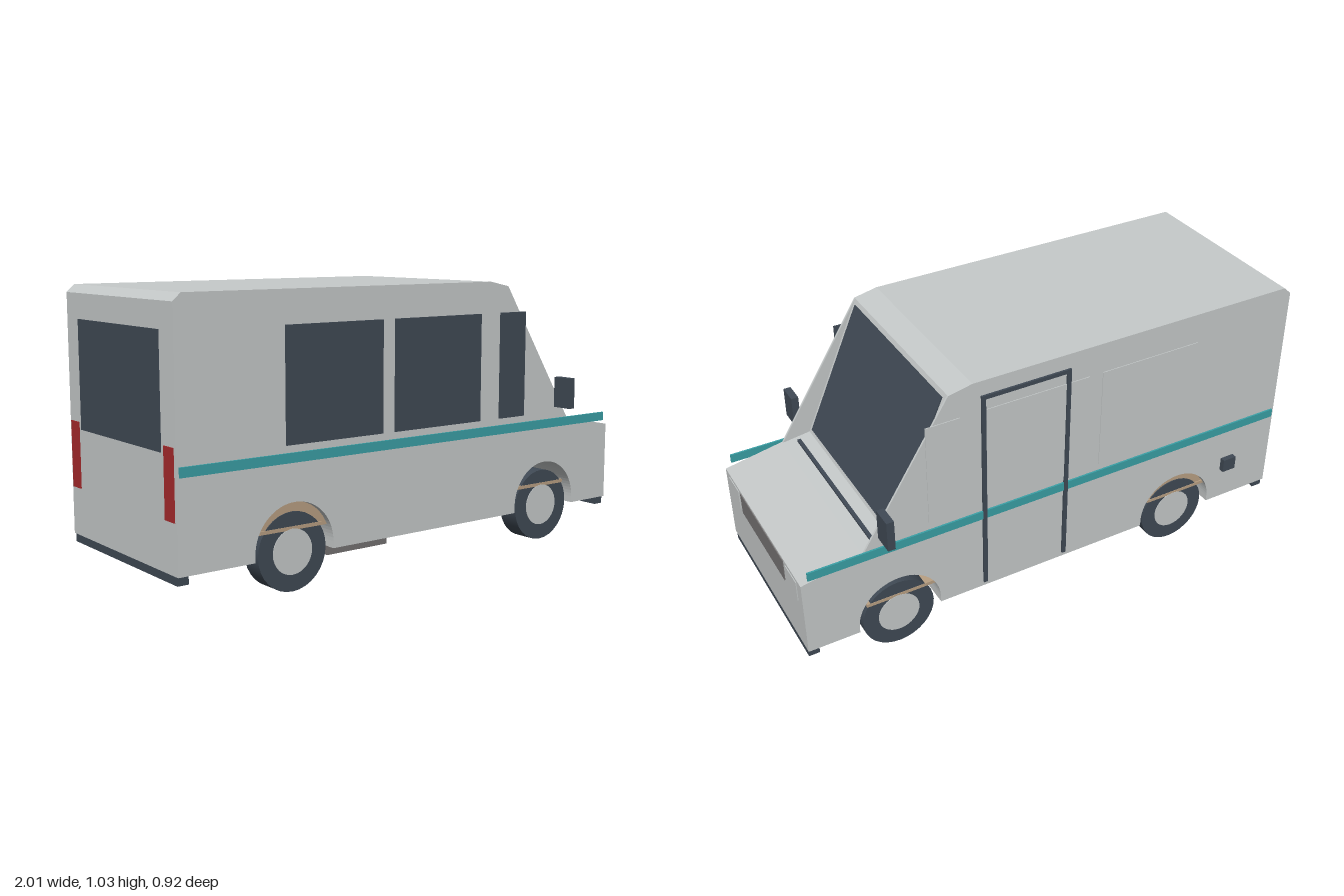
import * as THREE from 'three';

const mat = (name, color, side = THREE.FrontSide) => {
  const m = new THREE.MeshStandardMaterial({ color, side });
  m.name = name;
  return m;
};

export function createModel() {
  const paint = mat('pale grey paint', 0xc6caca);
  const dark = mat('dark slate', 0x404a55);
  const teal = mat('teal stripe', 0x3aa0a6);
  const tan = mat('tan liner', 0xb9a083);
  const grey = mat('mid grey', 0x757272);
  const red = mat('red lamp', 0xa82a2c);

  const van = new THREE.Group();
  van.name = 'van';
  const W = 0.376; // half width of the body

  const add = (name, geo, material, x = 0, y = 0, z = 0) => {
    const m = new THREE.Mesh(geo, material);
    m.name = name;
    m.position.set(x, y, z);
    van.add(m);
    return m;
  };
  // box given by its limits on each axis
  const box = (name, material, [x0, x1], [y0, y1], [z0, z1]) =>
    add(name, new THREE.BoxGeometry(x1 - x0, y1 - y0, z1 - z0), material,
      (x0 + x1) / 2, (y0 + y1) / 2, (z0 + z1) / 2);
  // thin plate on one side of the van
  const sidePlate = (name, material, xs, ys, s, t = 0.006) =>
    box(name, material, xs, ys, s > 0 ? [W, W + t] : [-W - t, -W]);
  const extrude = (shape, depth) =>
    new THREE.ExtrudeGeometry(shape, { depth, bevelEnabled: false, curveSegments: 20 })
      .translate(0, 0, -depth / 2);

  // Body side profile with open wheel arches
  const axles = [-0.55, 0.645];
  const profile = new THREE.Shape();
  profile.moveTo(-1, 0.13);
  for (const x of axles) {
    profile.lineTo(x - 0.16, 0.13);
    profile.absarc(x, 0.155, 0.16, Math.PI, 0, true);
    profile.lineTo(x + 0.16, 0.13);
  }
  [[1, 0.13], [1, 0.432], [0.77, 0.475], [0.66, 0.49], [0.43, 1.008],
    [0.34, 1.027], [-0.97, 1.027], [-1, 1]].forEach(([x, y]) => profile.lineTo(x, y));
  add('body', extrude(profile, 2 * W), paint);

  // Side cheeks beside the sloping windscreen
  const cheek = new THREE.Shape([[0.43, 1.008], [0.66, 0.49], [0.77, 0.475]]
    .map(([x, y]) => new THREE.Vector2(x, y)));
  for (const s of [1, -1]) add('windscreenCheek', extrude(cheek, 0.008), paint, 0, 0, s * (W - 0.004));

  // Windscreen and wiper
  const slope = Math.atan2(0.23, 0.518);
  add('windscreen', new THREE.BoxGeometry(0.008, 0.53, 0.7), dark, 0.546, 0.749, 0).rotation.z = slope;
  box('wiper', dark, [0.708, 0.722], [0.478, 0.49], [-0.34, 0.34]);

  // Windows on the left side, plain panels on the other
  for (const xs of [[-0.585, -0.175], [-0.12, 0.29], [0.39, 0.52]]) {
    sidePlate('sideWindow', dark, xs, [0.51, 0.91], 1);
    sidePlate('sidePanel', paint, xs, [0.51, 0.91], -1, 0.003);
  }
  box('rearWindow', dark, [-1.004, -1], [0.52, 0.91], [-0.285, 0.285]);

  // Door frame
  for (const x of [-0.033, 0.302]) sidePlate('doorPost', dark, [x - 0.008, x + 0.008], [0.15, 0.97], -1, 0.008);
  sidePlate('doorHeader', dark, [-0.041, 0.31], [0.955, 0.97], -1, 0.008);

  // Stripes, mirrors and tail lamps
  for (const s of [1, -1]) {
    sidePlate('stripe', teal, [-0.99, 0.975], [0.45, 0.484], s, 0.007);
    box('mirror', dark, [0.685, 0.713], [0.53, 0.648], s > 0 ? [0.382, 0.462] : [-0.462, -0.382]);
    const lamp = s > 0 ? [0.305, 0.365] : [-0.365, -0.305];
    box('tailLamp', red, [-1.004, -1], [0.305, 0.545], lamp);
    const head = s > 0 ? [0.235, 0.335] : [-0.335, -0.235];
    box('headlamp', paint, [0.999, 1.003], [0.34, 0.42], head);
  }

  // Grille, bumpers, fuel cap and underfloor tank
  box('grille', grey, [0.998, 1.003], [0.335, 0.424], [-0.213, 0.213]);
  box('frontBumper', dark, [0.957, 0.998], [0.1, 0.129], [-0.367, 0.367]);
  box('rearBumper', dark, [-0.998, -0.957], [0.1, 0.129], [-0.367, 0.367]);
  box('fuelCap', dark, [-0.82, -0.762], [0.267, 0.322], [-0.397, -W]);
  box('tank', grey, [-0.24, 0.04], [0.03, 0.131], [-0.136, 0.136]);

  // Rear arch liner, a half disc cut off level
  const liner = new THREE.Shape();
  liner.absarc(axles[0], 0.155, 0.158, 0.38, Math.PI - 0.38, false);
  add('rearLiner', extrude(liner, 0.71), tan);

  // Wheels, axles, springs and arch shelves
  for (const x of axles) {
    add('axle', new THREE.CylinderGeometry(0.018, 0.018, 0.6, 16).rotateX(Math.PI / 2), dark, x, 0.145, 0);
    box('archShelf', tan, [x - 0.15, x + 0.12], [0.215, 0.228], [-0.36, 0.36]);
    for (const s of [1, -1]) {
      box('spring', dark, [x - 0.16, x + 0.16], [0.15, 0.16], [s * 0.18 - 0.015, s * 0.18 + 0.015]);
      add('tyre', new THREE.CylinderGeometry(0.139, 0.139, 0.083, 32).rotateX(Math.PI / 2), dark,
        x, 0.14, s * 0.317);
      add('hub', new THREE.CylinderGeometry(0.08, 0.08, 0.088, 32).rotateX(Math.PI / 2), paint,
        x, 0.14, s * 0.317);
    }
  }
  return van;
}
